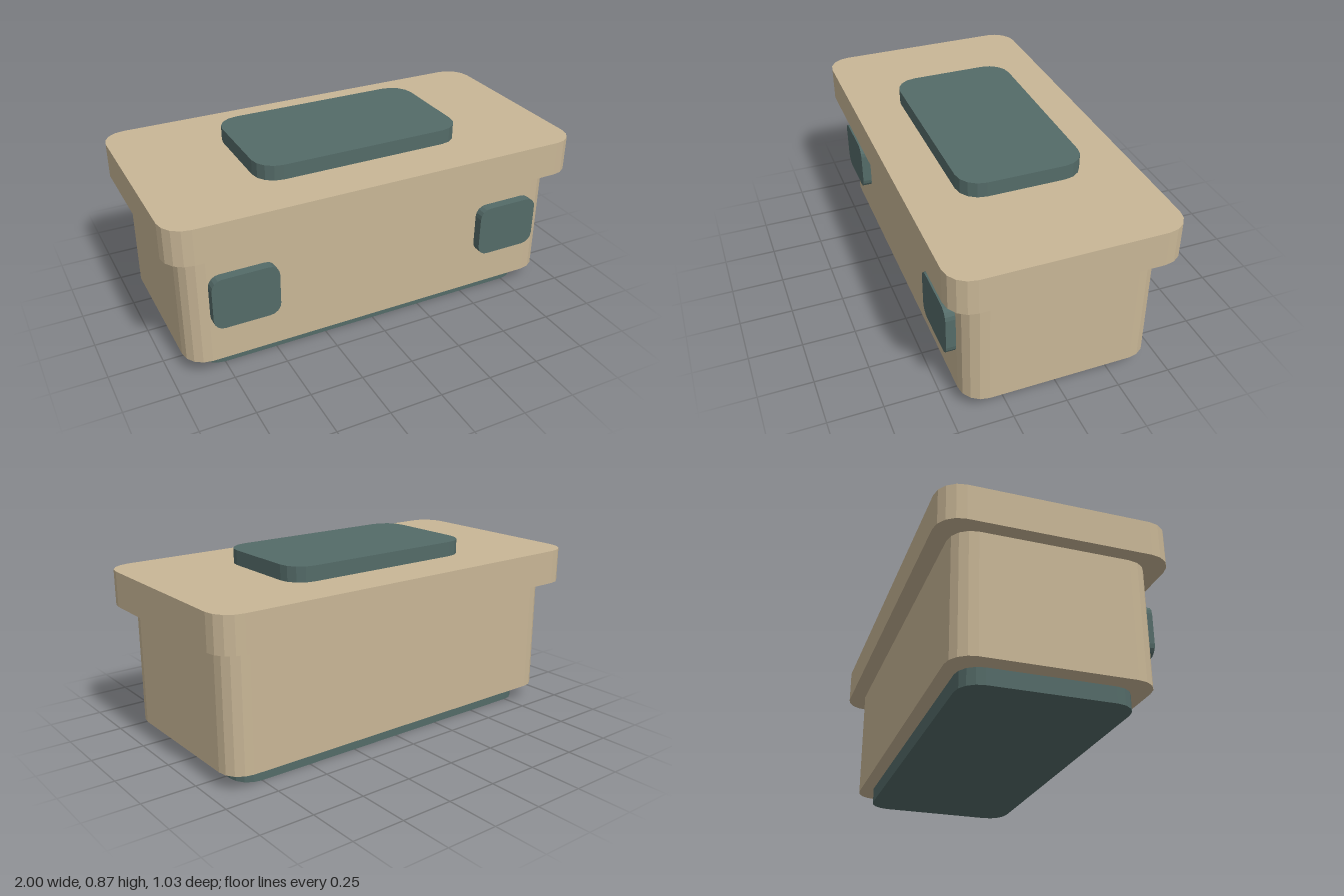
import * as THREE from 'three';

const tan = new THREE.MeshStandardMaterial({ color: 0xc8b696 });
tan.name = 'warm tan';
const teal = new THREE.MeshStandardMaterial({ color: 0x546b68 });
teal.name = 'grey teal';

// Centred rectangle with arc corners, extruded along +z
function roundedSlab(width, height, radius, depth) {
  const x = width / 2, y = height / 2, r = radius;
  const shape = new THREE.Shape();
  shape.absarc(x - r, y - r, r, 0, Math.PI / 2);
  shape.absarc(-x + r, y - r, r, Math.PI / 2, Math.PI);
  shape.absarc(-x + r, -y + r, r, Math.PI, Math.PI * 1.5);
  shape.absarc(x - r, -y + r, r, Math.PI * 1.5, Math.PI * 2);
  shape.closePath();
  return new THREE.ExtrudeGeometry(shape, { depth, bevelEnabled: false, curveSegments: 2 });
}

export function createModel() {
  const model = new THREE.Group();
  model.name = 'lidded box';

  const add = (name, geometry, material) => {
    const mesh = new THREE.Mesh(geometry, material);
    mesh.name = name;
    model.add(mesh);
    return mesh;
  };

  // Stacked horizontal layers: name, width, depth, corner radius, bottom, top, material
  const layers = [
    ['base', 1.7, 0.754, 0.1, 0, 0.075, teal],
    ['body', 1.864, 0.88, 0.107, 0.075, 0.633, tan],
    ['lid', 2, 1.034, 0.112, 0.633, 0.798, tan],
    ['topPanel', 1.01, 0.574, 0.107, 0.798, 0.868, teal],
  ];
  for (const [name, width, depth, radius, bottom, top, material] of layers) {
    const geometry = roundedSlab(width, depth, radius, top - bottom).rotateX(-Math.PI / 2);
    add(name, geometry, material).position.y = bottom;
  }

  // Pair of latches on the front
  for (const [name, side] of [['leftLatch', 1], ['rightLatch', -1]]) {
    add(name, roundedSlab(0.308, 0.246, 0.05, 0.045), teal).position.set(side * 0.667, 0.388, 0.439);
  }

  return model;
}
